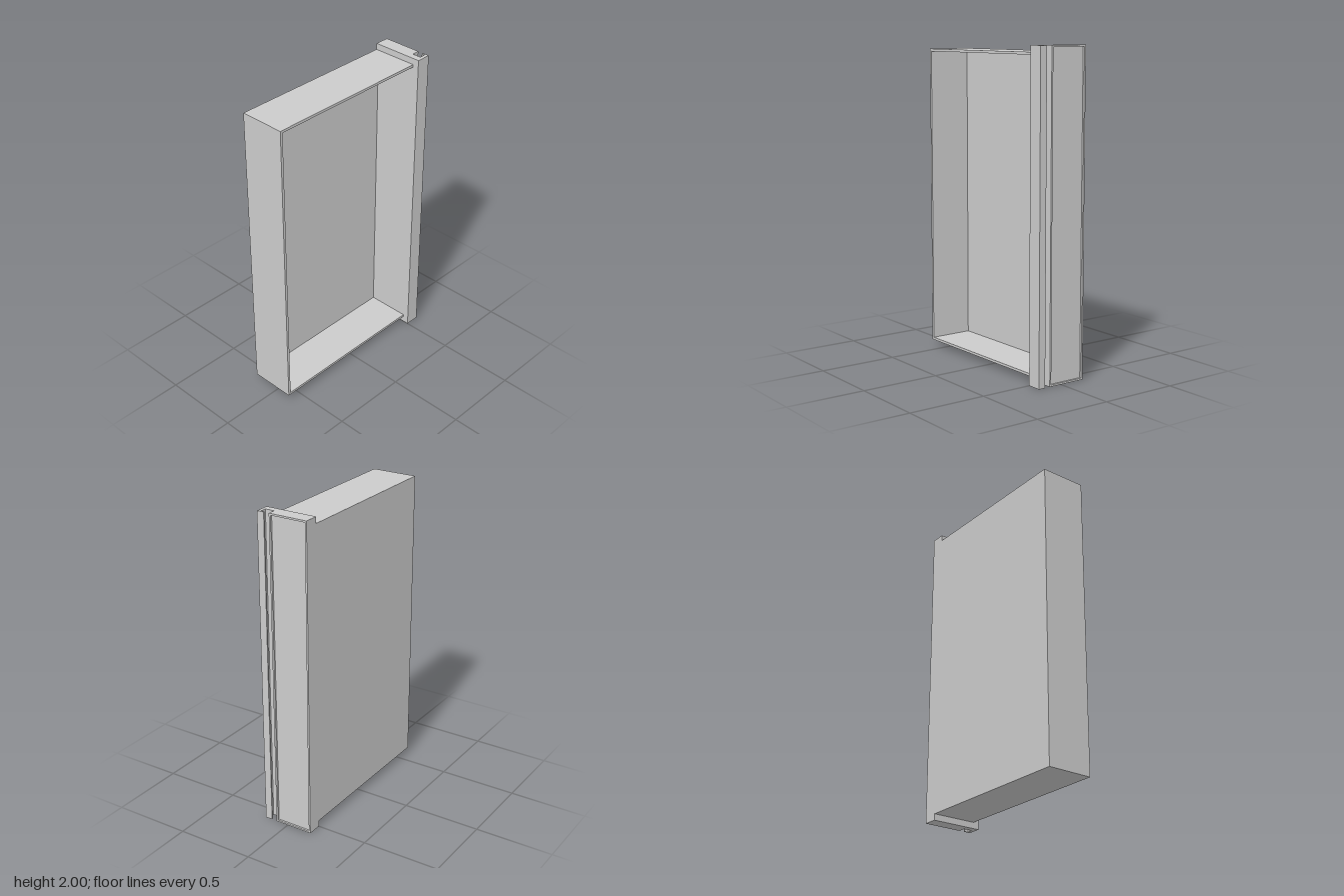
import * as THREE from 'three';

const material = new THREE.MeshStandardMaterial({ color: 0xcccccc, flatShading: true });

function polygon(points) {
  return new THREE.Shape(points.map(([x, y]) => new THREE.Vector2(x, y)));
}

function extrude(shape, depth) {
  return new THREE.ExtrudeGeometry(shape, { depth, bevelEnabled: false });
}

export function createModel() {
  const group = new THREE.Group();
  const add = (name, geometry) => {
    const mesh = new THREE.Mesh(geometry, material);
    mesh.name = name;
    group.add(mesh);
    return mesh;
  };

  const left = -0.595, seam = 0.5, right = 0.593;
  const back = -0.168, front = 0.127, wall = 0.016;
  const low = 0.04, high = 1.96;

  // Tray: top, bottom and outer side walls, closed by the post
  add('trayWalls', extrude(polygon([
    [left, low], [seam, low], [seam, low + wall], [left + wall, low + wall],
    [left + wall, high - wall], [seam, high - wall], [seam, high], [left, high],
  ]), front - back)).position.z = back;

  // Tray back panel, set between the walls
  const panelWidth = seam - left - wall;
  add('trayBack', new THREE.BoxGeometry(panelWidth, high - low - 2 * wall, wall))
    .position.set(left + wall + panelWidth / 2, (low + high) / 2, back + wall / 2);

  // Post with a lipped channel along its side; outline is (x, -z)
  const recess = 0.012, face = right - recess;
  const postFront = 0.166, slotBack = 0.085, slotFront = 0.144, lipEnd = 0.12;
  const post = add('post', extrude(polygon([
    [seam, -postFront], [right, -postFront], [right, -lipEnd], [right - 0.009, -lipEnd],
    [right - 0.009, -slotFront], [0.543, -slotFront], [0.543, -slotBack],
    [face, -slotBack], [face, -back], [seam, -back],
  ]), 2));
  post.rotation.x = -Math.PI / 2;

  // Thin raised rim around the post's side face; outline is (-z, y)
  const rim = 0.011;
  const rimShape = polygon([[-slotBack, 0], [-back, 0], [-back, 2], [-slotBack, 2]]);
  rimShape.holes.push(polygon([
    [-slotBack + rim, rim], [-slotBack + rim, 2 - rim],
    [-back - rim, 2 - rim], [-back - rim, rim],
  ]));
  const sideRim = add('sideRim', extrude(rimShape, recess));
  sideRim.rotation.y = Math.PI / 2;
  sideRim.position.x = face;

  return group;
}
